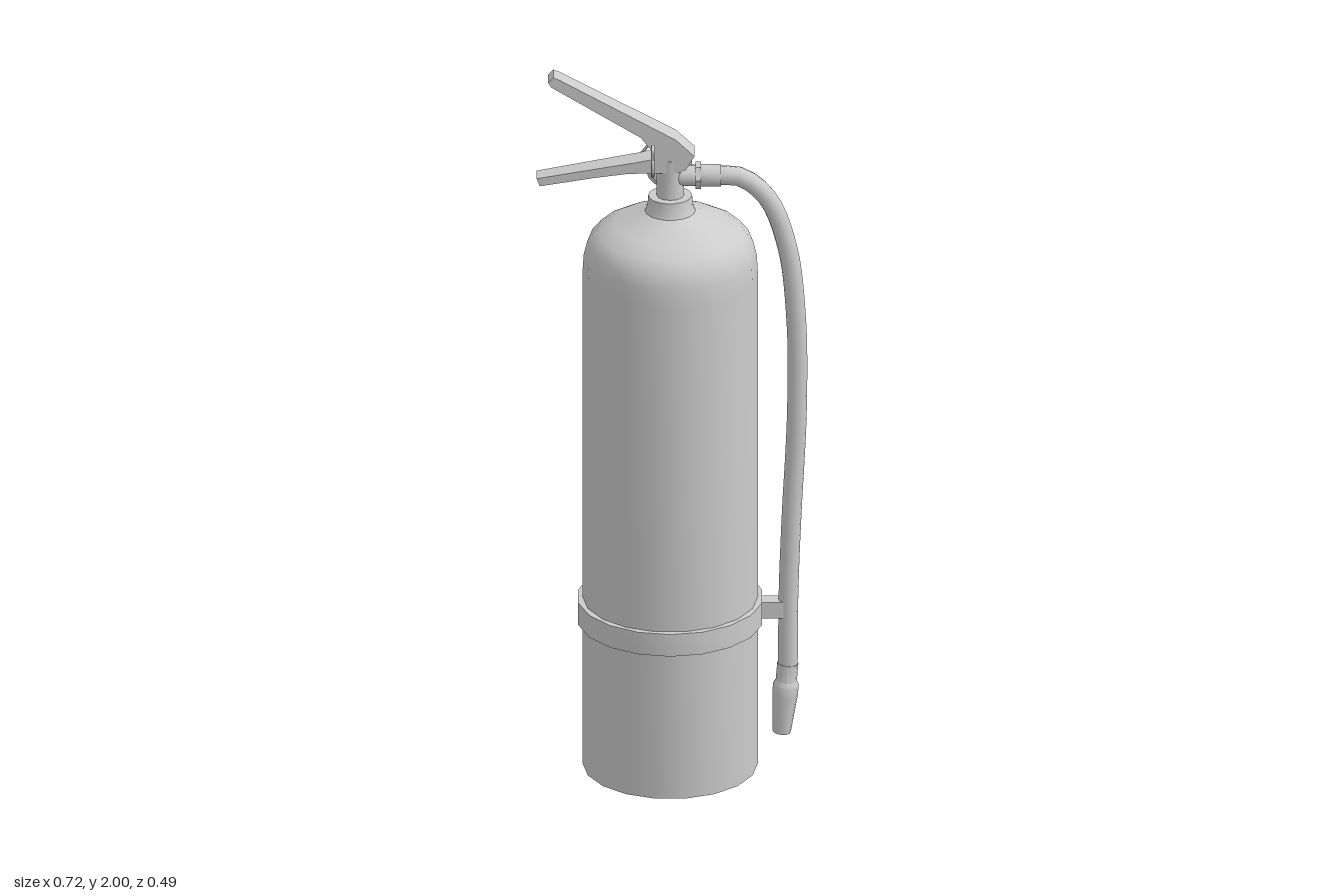
import * as THREE from 'three';
import { toCreasedNormals } from 'three/addons/utils/BufferGeometryUtils.js';

const material = new THREE.MeshStandardMaterial({ color: 0xcccccc });
const CX = -0.007; // cylinder axis
const V = (x, y, z) => new THREE.Vector3(x, y, z);

export function createModel() {
  const model = new THREE.Group();
  model.name = 'fireExtinguisher';

  const add = (name, geometry, crease = 0.6) => {
    const mesh = new THREE.Mesh(toCreasedNormals(geometry, crease), material);
    mesh.name = name;
    model.add(mesh);
    return mesh;
  };
  const lathe = (points, sides) =>
    new THREE.LatheGeometry(points.map(([r, y]) => new THREE.Vector2(r, y)), sides);
  // cylinder running from point a (radius ra) to point b (radius rb)
  const rod = (name, a, b, ra, rb = ra, sides = 12) => {
    const direction = b.clone().sub(a);
    const mesh = add(name, new THREE.CylinderGeometry(rb, ra, direction.length(), sides));
    mesh.position.copy(a).lerp(b, 0.5);
    mesh.quaternion.setFromUnitVectors(V(0, 1, 0), direction.normalize());
    return mesh;
  };

  // Tank with rounded shoulder and neck
  const tank = add('tank', lathe([
    [0, 0], [0.232, 0], [0.232, 1.42], [0.229, 1.475], [0.219, 1.515], [0.195, 1.545],
    [0.15, 1.57], [0.09, 1.592], [0.067, 1.604], [0.06, 1.62], [0.058, 1.648], [0, 1.648],
  ], 18));
  tank.position.x = CX;
  tank.rotation.y = Math.PI / 18;

  // Strap and the bracket that holds the hose
  const strap = add('strap', lathe([
    [0.225, 0.42], [0.247, 0.42], [0.247, 0.484], [0.225, 0.484],
  ], 18));
  strap.position.x = CX;
  add('hoseBracket', new THREE.BoxGeometry(0.08, 0.046, 0.045)).position.set(0.262, 0.452, 0);

  // Valve body and hose outlet
  rod('valveBody', V(CX, 1.64, 0), V(CX, 1.76, 0), 0.036);
  rod('outlet', V(CX, 1.705, 0), V(0.062, 1.705, 0), 0.028);
  rod('outletNut', V(0.06, 1.705, 0), V(0.075, 1.705, 0), 0.036, 0.036, 6);
  rod('hoseCollar', V(0.075, 1.705, 0), V(0.127, 1.705, 0), 0.03);

  // Hose
  const path = new THREE.CatmullRomCurve3([
    V(0.11, 1.705, 0), V(0.18, 1.7, 0), V(0.25, 1.64, 0), V(0.302, 1.5, 0), V(0.326, 1.29, 0),
    V(0.328, 1.02, 0), V(0.314, 0.72, 0), V(0.306, 0.5, 0), V(0.304, 0.26, 0),
  ]);
  add('hose', new THREE.TubeGeometry(path, 48, 0.026, 12));

  // Nozzle with a hollow mouth
  const nozzle = add('nozzle', lathe([
    [0, 0.04], [0.015, 0.04], [0.015, 0], [0.024, 0], [0.034, 0.11],
    [0.034, 0.14], [0.028, 0.15], [0.028, 0.2], [0, 0.2],
  ], 12));
  nozzle.position.set(0.288, 0.092, 0);
  nozzle.rotation.z = -0.08;

  // Levers: side outline extruded across, narrowing towards the grip end
  const lever = (name, outline) => {
    const shape = new THREE.Shape(outline.map(([x, y]) => new THREE.Vector2(x, y)));
    const geometry = new THREE.ExtrudeGeometry(shape, { depth: 1, bevelEnabled: false });
    const p = geometry.attributes.position;
    for (let i = 0; i < p.count; i++) {
      const half = THREE.MathUtils.mapLinear(p.getX(i), -0.36, 0.06, 0.026, 0.035);
      p.setZ(i, (p.getZ(i) - 0.5) * 2 * half);
    }
    add(name, geometry);
  };
  lever('upperLever', [
    [-0.33, 1.985], [-0.322, 1.972], [-0.085, 1.828], [-0.056, 1.79], [-0.056, 1.765],
    [-0.01, 1.735], [0.034, 1.735], [0.057, 1.775], [0.008, 1.822], [-0.3, 1.993], [-0.316, 2],
  ]);
  lever('lowerLever', [
    [-0.36, 1.707], [-0.352, 1.685], [-0.21, 1.71], [-0.12, 1.723], [0.02, 1.727],
    [0.03, 1.74], [-0.01, 1.765], [-0.056, 1.765], [-0.09, 1.757], [-0.21, 1.735],
  ]);

  // Pressure gauge at the back
  rod('gaugeStem', V(-0.01, 1.69, 0), V(-0.01, 1.69, -0.072), 0.022);
  rod('gaugeBase', V(-0.01, 1.688, -0.07), V(-0.01, 1.688, -0.087), 0.033);
  const gauge = add('gauge', lathe([
    [0, 0], [0.05, 0], [0.062, 0.01], [0.062, 0.027], [0.054, 0.027], [0.052, 0.022], [0, 0.022],
  ], 18));
  gauge.position.set(-0.01, 1.686, -0.085);
  gauge.rotation.x = -Math.PI / 2;

  // Safety pin with pull ring
  rod('safetyPin', V(-0.053, 1.778, 0.05), V(-0.053, 1.778, -0.115), 0.005, 0.005, 8);
  const ring = add('pullRing', new THREE.TorusGeometry(0.039, 0.005, 8, 20), 1.2);
  ring.position.set(-0.053, 1.785, 0.088);
  ring.rotation.y = Math.PI / 2;

  // Tamper seal
  rod('sealTie', V(-0.09, 1.735, -0.057), V(-0.026, 1.815, -0.057), 0.004, 0.004, 6);
  add('sealBead', new THREE.SphereGeometry(0.011, 10, 8), 1.2).position.set(-0.026, 1.815, -0.057);

  return model;
}
